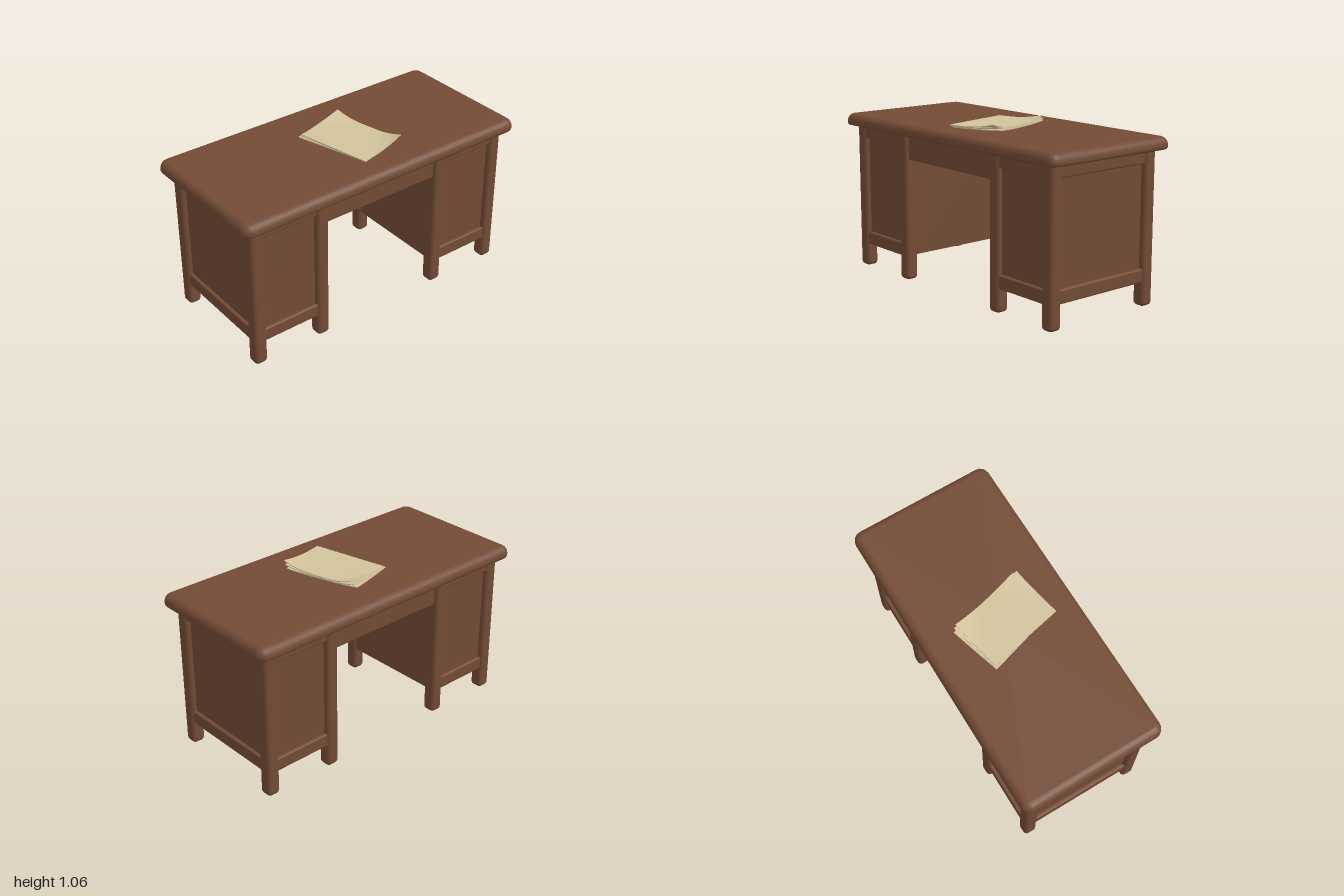
import * as THREE from 'three';
import { RoundedBoxGeometry } from 'three/addons/geometries/RoundedBoxGeometry.js';

const wood = new THREE.MeshStandardMaterial({ color: 0x734b35 });
wood.name = 'brown wood';
const paper = new THREE.MeshStandardMaterial({ color: 0xd2c39c });
paper.name = 'cream paper';

function add(parent, name, geometry, material, x = 0, y = 0, z = 0) {
  const mesh = new THREE.Mesh(geometry, material);
  mesh.name = name;
  mesh.position.set(x, y, z);
  parent.add(mesh);
  return mesh;
}

// Rounded box given by its min and max corners
function block(parent, name, [x0, y0, z0], [x1, y1, z1], radius) {
  const g = new RoundedBoxGeometry(x1 - x0, y1 - y0, z1 - z0, 3, radius);
  return add(parent, name, g, wood, (x0 + x1) / 2, (y0 + y1) / 2, (z0 + z1) / 2);
}

// Rounded-rectangle rings lofted through [inset, y] steps, capped by points at both ends
function loftedSlab(halfX, halfZ, corner, profile) {
  const pos = [], index = [], per = 5, n = per * 4;
  for (const [inset, y] of profile) {
    const r = Math.max(corner - inset, 0.012);
    for (let c = 0; c < 4; c++) {
      const sx = c === 0 || c === 3 ? 1 : -1, sz = c < 2 ? 1 : -1;
      for (let i = 0; i < per; i++) {
        const a = (c + i / (per - 1)) * Math.PI / 2;
        pos.push(sx * (halfX - inset - r) + r * Math.cos(a), y, sz * (halfZ - inset - r) + r * Math.sin(a));
      }
    }
  }
  for (let j = 0; j < profile.length - 1; j++) {
    for (let i = 0; i < n; i++) {
      const a = j * n + i, b = j * n + (i + 1) % n;
      index.push(a, a + n, b, b, a + n, b + n);
    }
  }
  // Separate cap vertices keep the flat faces crisp
  for (const j of [0, profile.length - 1]) {
    const start = pos.length / 3;
    for (let i = 0; i < n; i++) {
      const k = (j * n + i) * 3;
      pos.push(pos[k], pos[k + 1], pos[k + 2]);
    }
    const centre = pos.length / 3;
    pos.push(0, profile[j][1], 0);
    for (let i = 0; i < n; i++) {
      const a = start + i, b = start + (i + 1) % n;
      if (j === 0) index.push(centre, a, b);
      else index.push(centre, b, a);
    }
  }
  const g = new THREE.BufferGeometry();
  g.setAttribute('position', new THREE.Float32BufferAttribute(pos, 3));
  g.setIndex(index);
  g.computeVertexNormals();
  return g;
}

// Cabinet at the +z end: four legs, a closed body and rails framing three sunken panels
function makePedestal() {
  const p = new THREE.Group();
  for (const s of [-1, 1]) {
    for (const z of [0.4425, 0.8925]) {
      const leg = new RoundedBoxGeometry(0.086, 0.96, 0.085, 4, 0.026);
      add(p, 'leg', leg, wood, s * 0.366, 0.483, z);
    }
  }
  add(p, 'cabinetBody', new THREE.BoxGeometry(0.75, 0.785, 0.485), wood, 0, 0.5525, 0.6575);
  for (const [name, y0, y1] of [['lowerRail', 0.15, 0.235], ['upperRail', 0.86, 0.95]]) {
    block(p, name, [-0.34, y0, 0.88], [0.34, y1, 0.922], 0.01);
    for (const s of [-1, 1]) {
      const x = [s * 0.355, s * 0.397].sort((a, b) => a - b);
      block(p, name, [x[0], y0, 0.47], [x[1], y1, 0.87], 0.01);
    }
  }
  return p;
}

// Thin sheet with its two back corners curling upward
function sheetGeometry(curl) {
  const w = 0.49, d = 0.335;
  const g = new THREE.BoxGeometry(w, 0.005, d, 20, 1, 14);
  const p = g.attributes.position;
  for (let i = 0; i < p.count; i++) {
    const u = Math.abs(p.getX(i)) / (w / 2), v = 0.5 - p.getZ(i) / d;
    const lift = Math.max(0, u * 0.6 + v * 0.6 - 0.75) / 0.45;
    p.setY(i, p.getY(i) + curl * lift * lift);
  }
  g.computeVertexNormals();
  return g;
}

export function createModel() {
  const desk = new THREE.Group();
  desk.name = 'desk';

  // Tabletop with a broad rounded upper edge
  const profile = [[0.018, 0.94], [0.006, 0.944], [0, 0.954], [0, 0.966]];
  for (let i = 1; i <= 6; i++) {
    const a = i / 6 * Math.PI / 2;
    profile.push([0.048 * (1 - Math.cos(a)), 0.966 + 0.05 * Math.sin(a)]);
  }
  add(desk, 'tabletop', loftedSlab(0.467, 1, 0.06, profile), wood);

  // Matching pedestals at both ends
  for (const [name, turn] of [['frontPedestal', 0], ['backPedestal', Math.PI]]) {
    const pedestal = makePedestal();
    pedestal.name = name;
    pedestal.rotation.y = turn;
    desk.add(pedestal);
  }

  // Drawer box across the kneehole
  block(desk, 'centreDrawer', [-0.385, 0.78, -0.43], [0.385, 0.95, 0.43], 0.008);

  // Loose stack of sheets
  const stack = new THREE.Group();
  stack.name = 'paperStack';
  const sheets = [[0.022, 0.02, 0.29, 0.008], [0.03, -0.04, 0.25, 0.02], [0.042, -0.04, 0.215, 0.032]];
  sheets.forEach(([x, z, turn, curl], i) => {
    const sheet = add(stack, 'paperSheet', sheetGeometry(curl), paper, x, 1.019 + i * 0.006, i ? z : -0.035);
    sheet.rotation.y = turn;
  });
  desk.add(stack);
  return desk;
}
